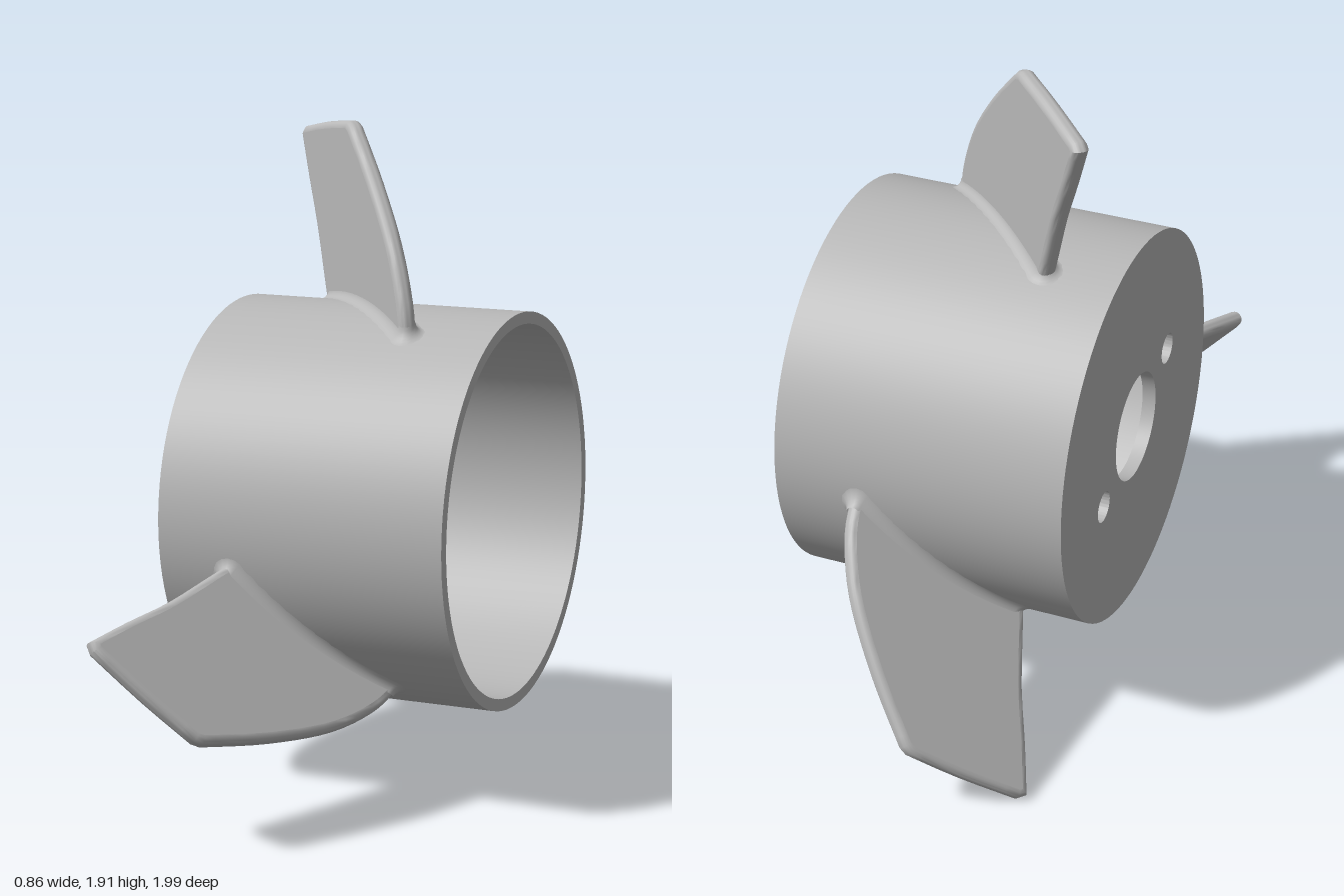
import * as THREE from 'three';
import { toCreasedNormals } from 'three/addons/utils/BufferGeometryUtils.js';

const R = 0.575, INNER = 0.54, HALF = 0.43;   // hub radii and half length
const CAP = 0.04;                             // end plate thickness
const T = 0.05;                               // blade thickness
const PITCH = -Math.PI / 4, SHIFT = 0.045;    // blade pitch and offset from the axis

const circle = (x, y, r, Type = THREE.Path) => {
  const c = new Type();
  c.absarc(x, y, r, 0, Math.PI * 2, false);
  return c;
};

// Extrudes a profile along x, starting at x0
function alongX(shape, x0, length) {
  const g = new THREE.ExtrudeGeometry(shape, { depth: length, bevelEnabled: false, curveSegments: 48 });
  g.rotateY(Math.PI / 2).translate(x0, 0, 0);
  return toCreasedNormals(g, 0.6);
}

// Pitched plate with a rounded rim, its foot following the hub wall
function bladeGeometry() {
  const k = Math.SQRT2;
  const v = (x, y) => new THREE.Vector2(x * k, y);
  const pts = [];
  for (let i = 0; i < 14; i++) {
    const x = -0.23 + 0.425 * i / 14;
    pts.push(v(x, Math.sqrt(0.552 ** 2 - (x + SHIFT) ** 2)));
  }
  const leading = new THREE.SplineCurve([v(0.195, 0.5), v(0.178, 0.62), v(0.118, 0.777), v(0.015, 0.94), v(-0.1, 1.085)]);
  const tip = new THREE.SplineCurve([v(-0.118, 1.094), v(-0.24, 1.078), v(-0.372, 1.05)]);
  const trailing = new THREE.SplineCurve([v(-0.388, 1.03), v(-0.345, 0.9), v(-0.295, 0.76), v(-0.25, 0.6), v(-0.23, 0.53)]);
  pts.push(...leading.getPoints(20), ...tip.getPoints(6), ...trailing.getPoints(12).slice(0, -1));

  const b = 0.021;
  const raw = new THREE.ExtrudeGeometry(new THREE.Shape(pts), {
    depth: T - 2 * b, bevelThickness: b, bevelSize: b, bevelOffset: -b, bevelSegments: 4,
  });
  raw.translate(0, 0, b - T / 2);
  const g = toCreasedNormals(raw, 0.6);

  // Keep the two broad faces perfectly flat in shading
  const p = g.attributes.position, n = g.attributes.normal;
  for (let i = 0; i < p.count; i += 3) {
    const z = p.getZ(i);
    const flat = [1, 2].every(j => Math.abs(p.getZ(i + j) - z) < 1e-5) && Math.abs(z) > T / 2 - 1e-4;
    if (flat) for (let j = 0; j < 3; j++) n.setXYZ(i + j, 0, 0, Math.sign(z));
  }
  return g.rotateY(PITCH).translate(0, 0, SHIFT);
}

// Concave fillet that runs round the foot of a blade
function filletGeometry() {
  const r = T / 2, f = 0.032, u0 = -0.305, u1 = 0.252, STEPS = 6;
  const loop = [];
  const arc = (u, start) => {
    for (let i = 0; i <= 8; i++) {
      const a = start + Math.PI * i / 8;
      loop.push([u, 0, Math.cos(a), Math.sin(a)]);
    }
  };
  const side = (from, to, s) => {
    for (let i = 1; i < 12; i++) loop.push([from + (to - from) * i / 12, 0, 0, s]);
  };
  arc(u1, -Math.PI / 2);
  side(u1, u0, 1);
  arc(u0, Math.PI / 2);
  side(u0, u1, -1);

  const pos = [], index = [], row = STEPS + 1;
  loop.forEach(([u, w, nu, nw], i) => {
    for (let s = 0; s <= STEPS; s++) {
      const a = Math.PI / 2 * s / STEPS;
      const d = r - 0.001 + f * (1 - Math.sin(a)), h = f * (1 - Math.cos(a));
      const pu = u + nu * d, pw = w + nw * d;
      const x = (pu - pw) / Math.SQRT2, z = (pu + pw) / Math.SQRT2 + SHIFT;
      pos.push(x, Math.sqrt((R + h - 0.001) ** 2 - z * z), z);
      if (s < STEPS) {
        const p = i * row + s, q = ((i + 1) % loop.length) * row + s;
        index.push(p, p + 1, q, q, p + 1, q + 1);
      }
    }
  });
  const g = new THREE.BufferGeometry();
  g.setAttribute('position', new THREE.Float32BufferAttribute(pos, 3));
  g.setIndex(index);
  g.computeVertexNormals();
  return g;
}

export function createModel() {
  const grey = new THREE.MeshStandardMaterial({ color: 0xb8b8b8 });
  grey.name = 'grey';
  const model = new THREE.Group();
  model.name = 'propeller';
  const add = (parent, name, geometry) => {
    const m = new THREE.Mesh(geometry, grey);
    m.name = name;
    parent.add(m);
  };

  // Hub tube, open on its +x end
  const ring = circle(0, 0, R, THREE.Shape);
  ring.holes.push(circle(0, 0, INNER));
  add(model, 'hubTube', alongX(ring, -HALF, HALF * 2));

  // End plate with shaft hole and two pin holes
  const plate = circle(0, 0, INNER, THREE.Shape);
  plate.holes.push(circle(0, 0, 0.16), circle(-0.248, 0.122, 0.046), circle(0.248, -0.122, 0.046));
  add(model, 'endPlate', alongX(plate, -HALF, CAP));

  // Three blades around the axis
  const blade = bladeGeometry(), fillet = filletGeometry();
  for (let i = 0; i < 3; i++) {
    const g = new THREE.Group();
    g.name = 'blade' + (i + 1);
    add(g, 'bladePlate', blade);
    add(g, 'bladeFillet', fillet);
    g.rotation.x = i * Math.PI * 2 / 3;
    model.add(g);
  }

  model.position.set(0, 0.813, -0.072);
  const root = new THREE.Group();
  root.add(model);
  return root;
}
